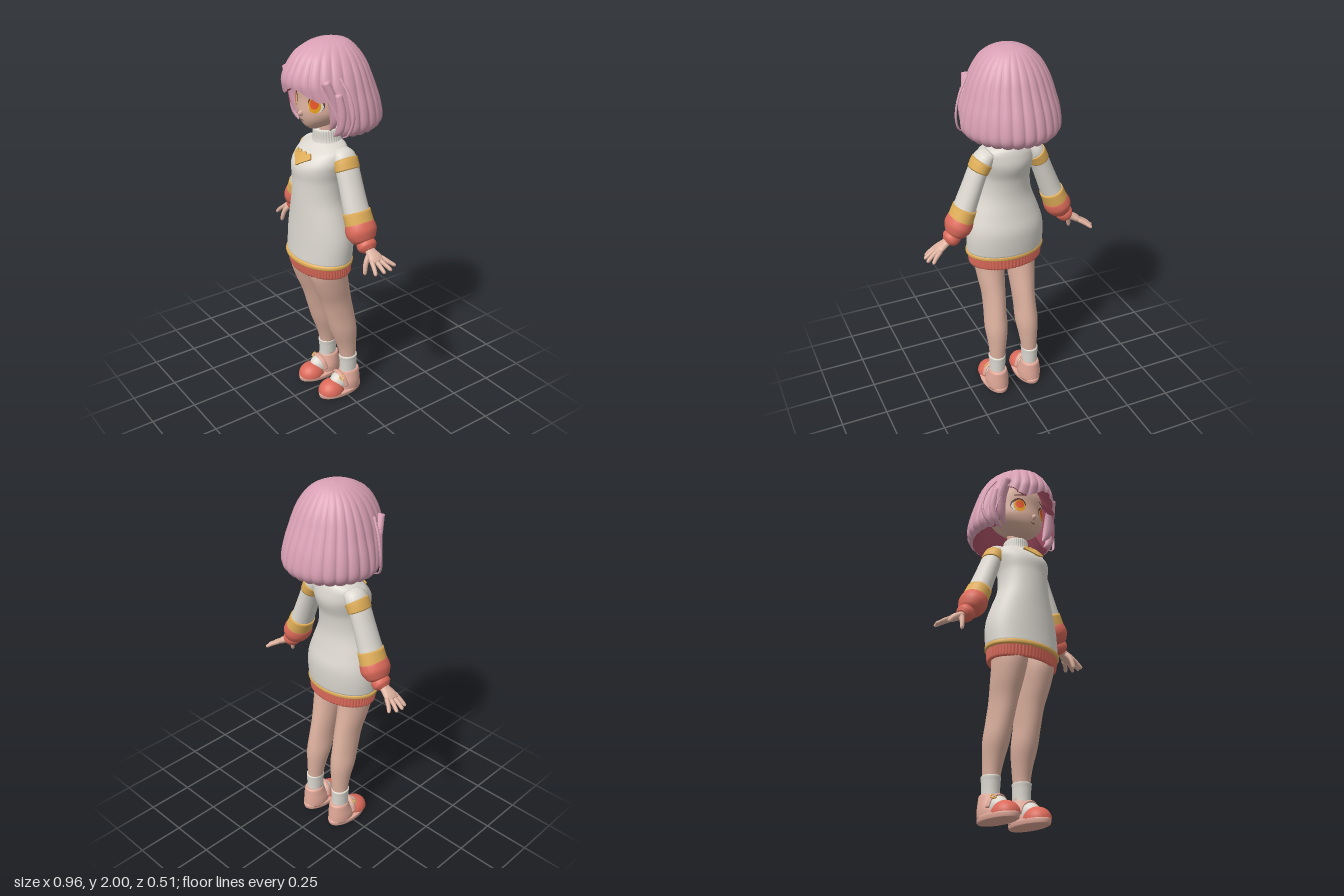
import * as THREE from 'three';

const V = (x, y, z) => new THREE.Vector3(x, y, z);
const lerp = THREE.MathUtils.lerp;
const material = (name, color, side = THREE.FrontSide) => {
  const m = new THREE.MeshStandardMaterial({ color, side });
  m.name = name;
  return m;
};

// Smoothly interpolated sections from [x, y, z, radiusU, radiusV] points
function sections(pts, n, t0 = 0, t1 = 1) {
  const path = new THREE.CatmullRomCurve3(pts.map(p => V(p[0], p[1], p[2])));
  const radii = new THREE.CatmullRomCurve3(pts.map(p => V(p[3], p[4], 0)), false, 'catmullrom', 0.5);
  return Array.from({ length: n + 1 }, (_, i) => {
    const t = lerp(t0, t1, i / n), r = radii.getPoint(t);
    return { c: path.getPoint(t), dir: path.getTangent(t), ru: Math.max(r.x, 0.001), rv: Math.max(r.y, 0.001) };
  });
}

// Skin over closed rings of points; optional fan caps
function skin(rings, cap0 = true, cap1 = true) {
  const m = rings[0].length, pos = [], idx = [];
  rings.forEach(r => r.forEach(p => pos.push(p.x, p.y, p.z)));
  for (let i = 0; i < rings.length - 1; i++) for (let j = 0; j < m; j++) {
    const a = i * m + j, b = i * m + (j + 1) % m, c = b + m, d = a + m;
    idx.push(a, b, c, a, c, d);
  }
  const cap = (row, flip) => {
    const c = rings[row].reduce((s, p) => s.add(p), V(0, 0, 0)).divideScalar(m), k = pos.length / 3;
    pos.push(c.x, c.y, c.z);
    for (let j = 0; j < m; j++) {
      const a = row * m + j, b = row * m + (j + 1) % m;
      if (flip) idx.push(k, b, a); else idx.push(k, a, b);
    }
  };
  if (cap0) cap(0, true);
  if (cap1) cap(rings.length - 1, false);
  const g = new THREE.BufferGeometry();
  g.setAttribute('position', new THREE.Float32BufferAttribute(pos, 3));
  g.setIndex(idx);
  g.computeVertexNormals();
  return g;
}

// Elliptical tube; flat keeps the rings horizontal, ribs adds knitted ridges
function tube(pts, { n = 24, seg = 24, t0, t1, grow = 0, flat = false, ribs = 0, amp = 0, ref = V(0, 0, 1) } = {}) {
  const count = ribs ? ribs * 4 : seg;
  return skin(sections(pts, n, t0, t1).map(s => {
    const d = flat ? V(0, 1, 0) : s.dir;
    const v = ref.clone().addScaledVector(d, -ref.dot(d)).normalize(), u = d.clone().cross(v);
    return Array.from({ length: count }, (_, j) => {
      const a = j / count * Math.PI * 2, k = 1 + (ribs ? amp * Math.cos(ribs * a) : 0);
      return s.c.clone().addScaledVector(u, Math.sin(a) * (s.ru + grow) * k)
        .addScaledVector(v, Math.cos(a) * (s.rv + grow) * k);
    });
  }));
}

// Upright body profiles: rows of [y, halfWidth, zCentre, halfDepth]
const upright = (rows, x = 0) => rows.map(([y, rx, z, rz]) => [x, y, z, rx, rz]);

export function createModel() {
  const root = new THREE.Group();
  root.name = 'girl';
  const hair = material('hair pink', 0xd9a0b4), inner = material('inner hair rose', 0xb4566c, THREE.DoubleSide);
  const skinMat = material('skin', 0xdcb09e), knit = material('knit white', 0xdcd8d0);
  const gold = material('gold', 0xe0ae58), coral = material('coral', 0xdc6a5a);
  const shoeMat = material('shoe pink', 0xe0a898), amber = material('eye amber', 0xf5a81c);
  const iris = material('eye orange', 0xe8582a), dark = material('lash brown', 0x5a3030);
  const add = (name, g, m) => {
    const mesh = new THREE.Mesh(g, m);
    mesh.name = name;
    root.add(mesh);
    return mesh;
  };

  // Head and neck
  const headPts = upright([[1.565, 0.025, 0.1, 0.03], [1.585, 0.065, 0.08, 0.075], [1.62, 0.11, 0.06, 0.11],
    [1.66, 0.14, 0.04, 0.135], [1.72, 0.155, 0.02, 0.15], [1.8, 0.16, 0.01, 0.16], [1.88, 0.14, 0, 0.14],
    [1.95, 0.08, 0, 0.08], [1.965, 0.004, 0, 0.004]]);
  add('head', tube(headPts, { n: 48, seg: 48, flat: true }), skinMat);
  add('neck', tube(upright([[1.48, 0.045, 0.02, 0.045], [1.54, 0.041, 0.02, 0.041], [1.62, 0.045, 0.02, 0.045]]),
    { flat: true }), skinMat);
  const nose = add('nose', new THREE.SphereGeometry(1, 16, 10), skinMat);
  nose.scale.set(0.011, 0.016, 0.022);
  nose.position.set(0, 1.65, 0.172);

  // Face details: thin discs laid on the curve of the face
  const face = sections(headPts, 160);
  const faceZ = (x, y) => {
    const i = Math.max(1, face.findIndex(s => s.c.y >= y)), a = face[i - 1], b = face[i];
    const k = (y - a.c.y) / (b.c.y - a.c.y), rx = lerp(a.ru, b.ru, k);
    return lerp(a.c.z, b.c.z, k) + lerp(a.rv, b.rv, k) * Math.sqrt(Math.max(0, 1 - (x / rx) ** 2));
  };
  const decal = (name, x, y, rx, ry, lift, mat, tilt = 0) => {
    const g = new THREE.RingGeometry(0.001, 1, 28, 5).scale(rx, ry, 1).rotateZ(tilt).translate(x, y, 0);
    const p = g.attributes.position;
    for (let i = 0; i < p.count; i++) p.setZ(i, faceZ(p.getX(i), p.getY(i)) + lift);
    g.computeVertexNormals();
    add(name, g, mat);
  };
  for (const s of [1, -1]) {
    decal('eyeOutline', s * 0.082, 1.709, 0.037, 0.042, 0.002, dark);
    decal('eyeWhite', s * 0.082, 1.701, 0.034, 0.034, 0.003, knit);
    decal('irisRim', s * 0.08, 1.703, 0.028, 0.038, 0.0045, amber);
    decal('irisCentre', s * 0.08, 1.71, 0.02, 0.026, 0.006, iris);
    decal('eyebrow', s * 0.078, 1.772, 0.03, 0.004, 0.003, dark, -s * 0.12);
  }
  decal('mouth', 0, 1.614, 0.014, 0.002, 0.002, dark);

  // Bob of hair: lobed shell with a fringe over the face, rows of [y, halfWidth, front, back]
  const rows = [[2, 0.006, 0.006, 0.006], [1.985, 0.08, 0.1, 0.08], [1.94, 0.14, 0.185, 0.13], [1.88, 0.18, 0.23, 0.17],
    [1.82, 0.205, 0.252, 0.195], [1.77, 0.22, 0.245, 0.215], [1.7, 0.24, 0.22, 0.24], [1.63, 0.25, 0.2, 0.255],
    [1.59, 0.243, 0.18, 0.25], [1.56, 0.215, 0.16, 0.225]];
  const shape = new THREE.CatmullRomCurve3(rows.map(r => V(r[1], r[0], 0)), false, 'catmullrom', 0.5);
  const depth = new THREE.CatmullRomCurve3(rows.map(r => V(r[2], r[3], 0)), false, 'catmullrom', 0.5);
  const hairPoint = (j, u) => {
    const raw = j / 260 * Math.PI * 2, a = raw > Math.PI ? raw - Math.PI * 2 : raw;
    const lobe = Math.abs(Math.cos(13 * a)) ** 0.7;
    const fringe = 0.56 + 0.05 * Math.cos((a + 0.4) * 5.4);
    const k = THREE.MathUtils.smoothstep(Math.abs(a), 0.9, 1.12);
    const w = lerp(fringe, 1 - 0.03 * (1 - lobe), k) * u;
    const p = shape.getPoint(w), d = depth.getPoint(w);
    const r = 1 + 0.04 * (lobe - 0.75) * Math.min(1, w * 3);
    return V(p.x * Math.sin(a) * r, p.y, (Math.cos(a) > 0 ? d.x : d.y) * Math.cos(a) * r);
  };
  const hairRing = f => Array.from({ length: 260 }, (_, j) => f(j));
  const shell = Array.from({ length: 31 }, (_, i) => hairRing(j => hairPoint(j, 1 - i / 30)));
  add('hair', skin(shell, false, true), hair);
  const tuck = (k, up) => hairRing(j => hairPoint(j, 1).multiply(V(k, 1, k)).add(V(0, up, 0)));
  add('hairUnderside', skin([tuck(0.5, 0.15), tuck(0.72, 0.06), tuck(0.88, 0.015), tuck(1, 0)], false, false), inner);
  for (const s of [1, -1]) {
    add('sideLock', tube([[s * 0.165, 1.84, 0.15, 0.025, 0.02], [s * 0.178, 1.74, 0.115, 0.03, 0.022],
      [s * 0.17, 1.65, 0.1, 0.028, 0.02], [s * 0.135, 1.585, 0.1, 0.004, 0.004]]), hair);
    add('cheekLock', tube([[s * 0.2, 1.78, 0.1, 0.02, 0.02], [s * 0.21, 1.67, 0.085, 0.026, 0.022],
      [s * 0.195, 1.6, 0.085, 0.022, 0.018], [s * 0.155, 1.56, 0.09, 0.004, 0.004]]), hair);
    add('looseStrand', tube([[s * 0.19, 1.85, 0.08, 0.005, 0.008], [s * 0.242, 1.76, 0.06, 0.005, 0.008],
      [s * 0.262, 1.66, 0.055, 0.005, 0.009], [s * 0.242, 1.585, 0.07, 0.005, 0.008],
      [s * 0.2, 1.56, 0.08, 0.002, 0.002]], { seg: 10 }), hair);
  }

  // Sweater dress
  add('sweater', tube(upright([[0.865, 0.212, 0.075, 0.148], [0.95, 0.214, 0.069, 0.149], [1.02, 0.206, 0.068, 0.147],
    [1.1, 0.183, 0.076, 0.136], [1.2, 0.148, 0.085, 0.126], [1.3, 0.138, 0.082, 0.128], [1.365, 0.148, 0.073, 0.14],
    [1.405, 0.155, 0.062, 0.134], [1.45, 0.148, 0.045, 0.11], [1.475, 0.12, 0.03, 0.086], [1.49, 0.08, 0.027, 0.07]]),
    { n: 48, seg: 48, flat: true }), knit);
  add('collar', tube(upright([[1.462, 0.088, 0.026, 0.084], [1.5, 0.07, 0.026, 0.072], [1.545, 0.062, 0.026, 0.07],
    [1.553, 0.055, 0.026, 0.062], [1.54, 0.046, 0.024, 0.05]]), { flat: true, ribs: 34, amp: 0.025 }), knit);
  add('hemBand', tube(upright([[0.85, 0.208, 0.077, 0.146], [0.855, 0.217, 0.077, 0.153], [0.87, 0.217, 0.077, 0.153],
    [0.877, 0.208, 0.077, 0.146]]), { n: 12, seg: 48, flat: true }), gold);
  add('ribbedHem', tube(upright([[0.845, 0.185, 0.075, 0.126], [0.795, 0.185, 0.073, 0.126], [0.79, 0.192, 0.072, 0.132],
    [0.797, 0.2, 0.072, 0.138], [0.83, 0.204, 0.074, 0.142], [0.862, 0.206, 0.076, 0.145]]),
    { flat: true, ribs: 64, amp: 0.014 }), coral);

  // Chest emblem in two mirrored halves, curved to the chest
  for (const s of [1, -1]) {
    const half = [[0, -0.048], [0.07, 0.01], [0.053, 0.036], [0.036, 0.022], [0.02, 0.036], [0, 0.022]];
    const g = new THREE.ExtrudeGeometry(new THREE.Shape(half.map(p => new THREE.Vector2(s * p[0], p[1]))),
      { depth: 0.009, bevelEnabled: false });
    const p = g.attributes.position;
    for (let i = 0; i < p.count; i++) p.setZ(i, p.getZ(i) - 2.4 * p.getX(i) ** 2);
    g.computeVertexNormals();
    const mesh = add('chestEmblem', g, gold);
    mesh.position.set(0, 1.425, 0.182);
    mesh.rotation.x = -0.62;
  }

  for (const s of [1, -1]) {
    const at = pts => pts.map(p => [s * p[0], ...p.slice(1)]);

    // Sleeves with gold bands and puffed cuffs
    const arm = at([[0.1, 1.455, 0.018, 0.03, 0.05], [0.135, 1.428, 0.018, 0.051, 0.064], [0.168, 1.37, 0.018, 0.05, 0.064],
      [0.2, 1.29, 0.018, 0.052, 0.065], [0.235, 1.2, 0.018, 0.056, 0.068], [0.268, 1.12, 0.015, 0.06, 0.072],
      [0.285, 1.08, 0.013, 0.06, 0.07]]);
    add('sleeve', tube(arm, { n: 40 }), knit);
    add('upperArmBand', tube(arm, { t0: 0.2, t1: 0.33, n: 8, grow: 0.004 }), gold);
    add('forearmBand', tube(arm, { t0: 0.71, t1: 0.9, n: 8, grow: 0.005 }), gold);
    add('puffCuff', tube(at([[0.262, 1.13, 0.015, 0.055, 0.065], [0.268, 1.118, 0.015, 0.067, 0.078],
      [0.285, 1.08, 0.015, 0.071, 0.083], [0.303, 1.045, 0.013, 0.055, 0.066], [0.312, 1.028, 0.012, 0.038, 0.042]])), coral);
    add('wristCuff', tube(at([[0.305, 1.042, 0.012, 0.036, 0.04], [0.315, 1.03, 0.012, 0.046, 0.05],
      [0.335, 1.012, 0.012, 0.045, 0.05], [0.35, 1, 0.012, 0.028, 0.032]])), coral);

    // Hands
    add('palm', tube(at([[0.33, 1.015, 0.01, 0.02, 0.025], [0.36, 0.995, 0.01, 0.02, 0.03], [0.395, 0.975, 0.008, 0.019, 0.041],
      [0.415, 0.962, 0.006, 0.013, 0.036]])), skinMat);
    const tips = [[0.458, 0.935, -0.066], [0.476, 0.928, -0.028], [0.477, 0.925, 0.012], [0.46, 0.918, 0.052]];
    tips.forEach(([x, y, z], i) => {
      const z0 = -0.025 + i * 0.021;
      add('finger', tube(at([[0.398, 0.973, z0, 0.012, 0.012], [lerp(0.4, x, 0.55), lerp(0.972, y, 0.5), lerp(z0, z, 0.55), 0.011, 0.011],
        [x - 0.005, y + 0.004, z, 0.009, 0.009], [x, y, z, 0.002, 0.002]]), { n: 12, seg: 12 }), skinMat);
    });
    add('thumb', tube(at([[0.365, 0.99, 0.025, 0.015, 0.015], [0.375, 0.955, 0.052, 0.013, 0.013],
      [0.384, 0.905, 0.065, 0.01, 0.01], [0.386, 0.893, 0.066, 0.002, 0.002]]), { n: 12, seg: 12 }), skinMat);

    // Legs and socks
    const leg = [[0.11, 0.042, 0.045], [0.22, 0.043, 0.047], [0.3, 0.05, 0.058], [0.4, 0.062, 0.077], [0.5, 0.06, 0.085],
      [0.6, 0.063, 0.09], [0.7, 0.073, 0.1], [0.79, 0.08, 0.108], [0.88, 0.08, 0.108]];
    const legX = [0.098, 0.098, 0.095, 0.0925, 0.09, 0.0875, 0.09, 0.09, 0.09];
    const legZ = [-0.047, -0.045, -0.037, -0.018, 0.005, 0.03, 0.06, 0.08, 0.08];
    add('leg', tube(leg.map(([y, rx, rz], i) => [s * legX[i], y, legZ[i], rx, rz]), { n: 48, seg: 28, flat: true }), skinMat);
    const x = s * 0.1;
    add('sock', tube(upright([[0.05, 0.048, -0.045, 0.055], [0.13, 0.044, -0.047, 0.049], [0.2, 0.046, -0.046, 0.051],
      [0.225, 0.048, -0.045, 0.053], [0.23, 0.043, -0.045, 0.047]], x), { flat: true }), knit);
    const instep = add('sockInstep', new THREE.SphereGeometry(1, 20, 14), knit);
    instep.scale.set(0.05, 0.06, 0.07);
    instep.position.set(x, 0.065, 0.005);

    // Strapped shoes
    add('sole', tube(upright([[0, 0.062, 0.01, 0.127], [0.004, 0.068, 0.01, 0.133], [0.026, 0.071, 0.01, 0.136],
      [0.032, 0.062, 0.01, 0.126]], x), { n: 12, seg: 36, flat: true }), shoeMat);
    const toe = add('toeCap', new THREE.SphereGeometry(1, 28, 12, 0, Math.PI * 2, 0, Math.PI / 2), coral);
    toe.scale.set(0.068, 0.066, 0.076);
    toe.position.set(x, 0.026, 0.067);
    add('heel', tube(upright([[0.02, 0.063, -0.038, 0.083], [0.06, 0.064, -0.04, 0.078], [0.1, 0.057, -0.05, 0.064],
      [0.13, 0.051, -0.054, 0.057], [0.137, 0.045, -0.054, 0.05]], x), { n: 16, seg: 32, flat: true }), shoeMat);
    add('strap', tube([[x - 0.062, 0.06, 0.005, 0.007, 0.014], [x - 0.045, 0.105, 0.012, 0.007, 0.014],
      [x, 0.127, 0.02, 0.007, 0.014], [x + 0.045, 0.105, 0.012, 0.007, 0.014], [x + 0.062, 0.06, 0.005, 0.007, 0.014]],
      { seg: 12 }), shoeMat);
    const buckle = add('buckle', new THREE.TorusGeometry(0.013, 0.004, 8, 16), gold);
    buckle.position.set(x + s * 0.04, 0.112, 0.024);
    buckle.rotation.set(-0.8, s * 0.4, 0);
  }
  return root;
}
